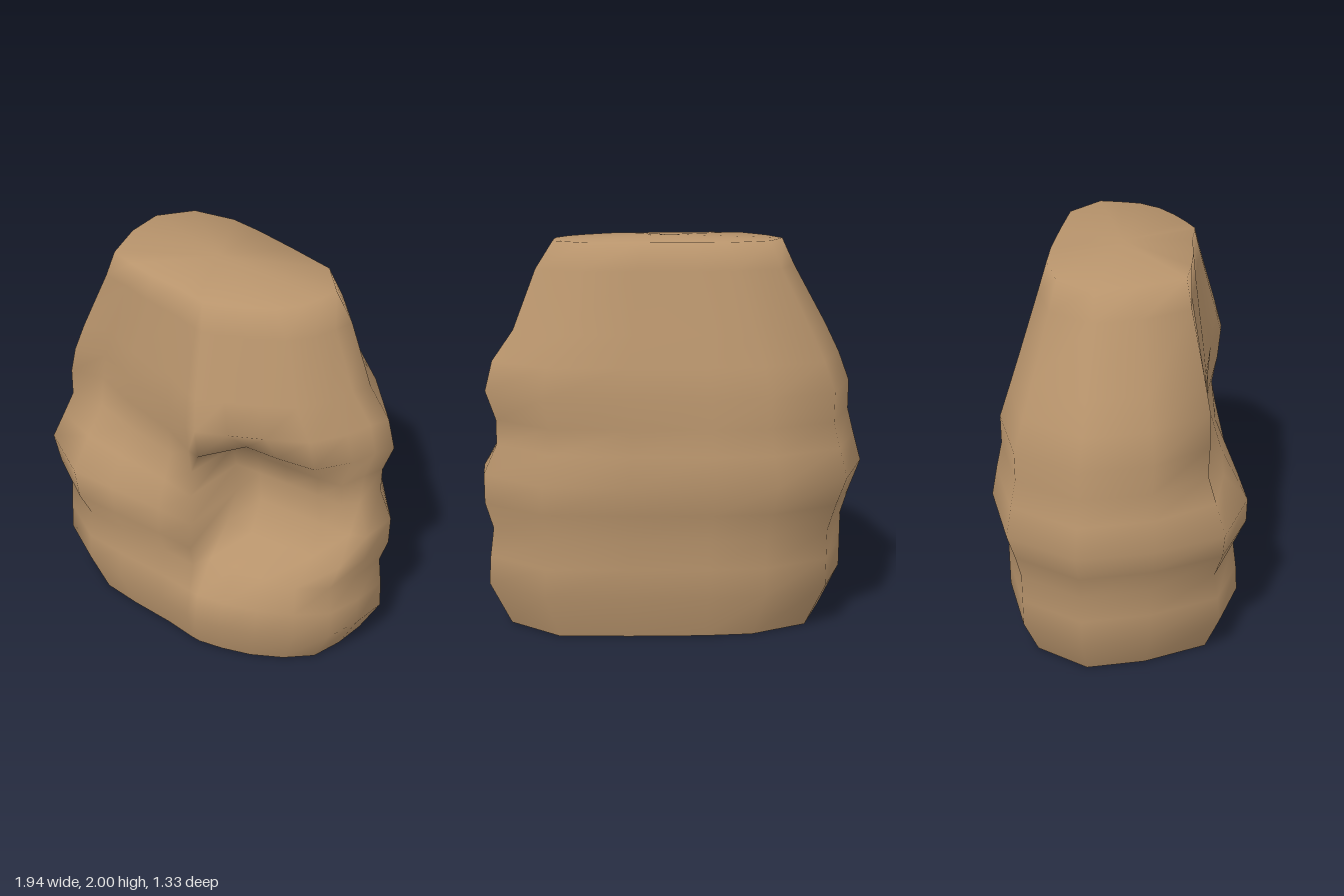
import * as THREE from 'three';

// plan outline from the left end, along the front, round the right end and back
const OUTLINE = [
  [-1, 0.08], [-0.92, 0.65], [-0.62, 0.95], [-0.36, 0.97], [-0.05, 0.98], [0.16, 1], [0.21, 1],
  [0.36, 0.98], [0.54, 0.92], [0.72, 0.8], [0.88, 0.65], [0.96, 0.38], [1, 0.08],
  [0.77, -0.42], [0.36, -0.66], [-0.05, -0.88], [-0.36, -1], [-0.76, -0.94], [-1, -0.49],
];

// narrower front corners used on the upper half: outline index -> [x, z]
const SHOULDER = {
  1: [-0.86, 0.56], 2: [-0.66, 0.5], 3: [-0.4, 0.67], 4: [-0.05, 0.82], 5: [0.14, 0.97],
  7: [0.37, 0.91], 8: [0.55, 0.8], 9: [0.75, 0.66], 10: [0.88, 0.42], 11: [0.94, 0.22],
};

// height, left, right, back and front reach, shoulder amount, notch floor z, notch start x
const RINGS = [
  [0, 0.78, 0.85, 0.51, 0.60, 0.2, 9, 9],
  [0.23, 0.88, 0.96, 0.59, 0.67, 0.2, 9, 9],
  [0.38, 0.88, 0.95, 0.59, 0.64, 0.15, 9, 9],
  [0.53, 0.88, 0.93, 0.59, 0.60, 0.1, 0.50, 0.18],
  [0.67, 0.92, 0.97, 0.62, 0.63, 0, 0.36, 0.18],
  [0.82, 0.97, 0.97, 0.66, 0.62, 0, 0.27, 0.18],
  [0.97, 0.93, 0.90, 0.63, 0.60, 0.4, 0.25, 0.18],
  [1.1, 0.90, 0.90, 0.60, 0.58, 0.8, 0.28, 0.18],
  [1.25, 0.90, 0.95, 0.60, 0.61, 1, 0.42, 0.3],
  [1.4, 0.85, 0.91, 0.547, 0.62, 1, 9, 9],
  [1.55, 0.78, 0.80, 0.493, 0.575, 0.9, 9, 9],
  [1.85, 0.62, 0.68, 0.386, 0.48, 0.65, 9, 9],
  [1.985, 0.56, 0.59, 0.34, 0.44, 0.5, 9, 9],
];

function ringPoint(i, [y, left, right, back, front, shoulder, floor, start]) {
  let [u, v] = OUTLINE[i];
  if (SHOULDER[i]) {
    u += (SHOULDER[i][0] - u) * shoulder;
    v += (SHOULDER[i][1] - v) * shoulder;
  }
  const x = u * (u < 0 ? left : right);
  const z = v * (v < 0 ? back : front);
  // hollow on the front left side
  return [x, y, x > start ? Math.min(z, floor) : z];
}

export function createModel() {
  const stone = new THREE.MeshStandardMaterial({ color: 0xb8946c, side: THREE.DoubleSide });
  stone.name = 'sandstone';

  const n = OUTLINE.length;
  const positions = [];
  const index = [];
  RINGS.forEach((ring, r) => {
    for (let i = 0; i < n; i++) {
      positions.push(...ringPoint(i, ring));
      if (r === 0) continue;
      const j = (i + 1) % n;
      const a = (r - 1) * n + i, b = (r - 1) * n + j;
      const c = r * n + j, d = r * n + i;
      index.push(a, b, c, a, c, d);
    }
  });

  // shallow crown; the underside stays open
  const crown = positions.length / 3;
  positions.push(-0.03, 2, 0.05);
  const top = (RINGS.length - 1) * n;
  for (let i = 0; i < n; i++) index.push(top + i, top + (i + 1) % n, crown);

  const geometry = new THREE.BufferGeometry();
  geometry.setAttribute('position', new THREE.Float32BufferAttribute(positions, 3));
  geometry.setIndex(index);
  geometry.computeVertexNormals();

  const rock = new THREE.Mesh(geometry, stone);
  rock.name = 'rock';
  const group = new THREE.Group();
  group.name = 'boulder';
  group.add(rock);
  return group;
}
